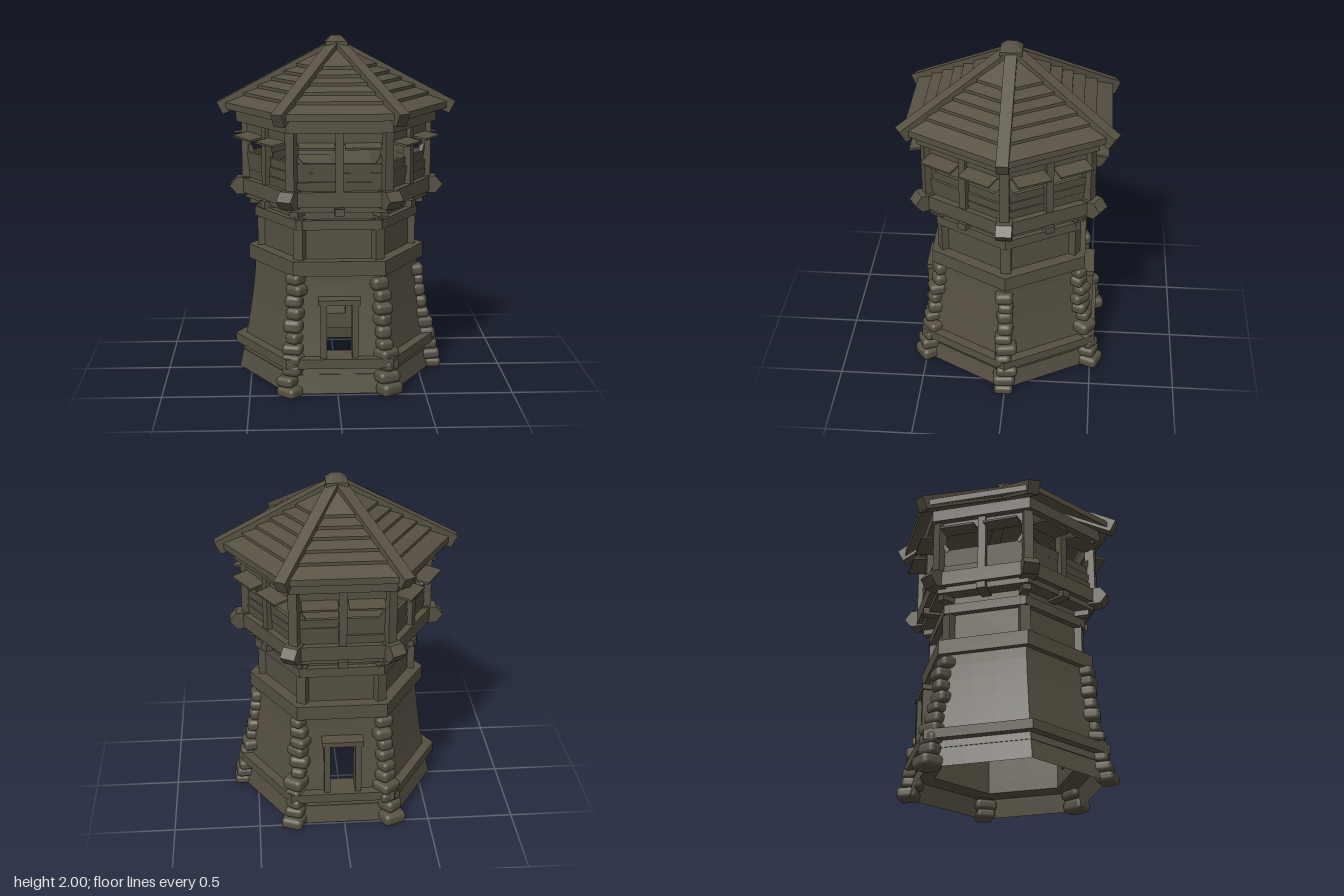
import * as THREE from 'three';
import { RoundedBoxGeometry } from 'three/addons/geometries/RoundedBoxGeometry.js';

const SIXTH = Math.PI / 3;
const APO = Math.cos(Math.PI / 6); // apothem of a unit hexagon

const wood = new THREE.MeshStandardMaterial({ color: 0x575143, side: THREE.DoubleSide });
wood.name = 'weathered grey brown';

function add(parent, name, geometry, x = 0, y = 0, z = 0) {
  const mesh = new THREE.Mesh(geometry, wood);
  mesh.name = name;
  mesh.position.set(x, y, z);
  parent.add(mesh);
  return mesh;
}

function box(parent, name, w, h, d, x, y, z) {
  return add(parent, name, new THREE.BoxGeometry(w, h, d), x, y, z);
}

// Six-sided solid from a profile of [radius, y], with corners on the x axis
function hexLathe(parent, name, profile) {
  const points = profile.map(([r, y]) => new THREE.Vector2(r, y));
  const g = new THREE.LatheGeometry(points, 6, Math.PI / 2).toNonIndexed();
  g.computeVertexNormals();
  return add(parent, name, g);
}

// Six rotated copies; sides face local +z, corners point along local +x
function around(parent, name, build) {
  for (let k = 0; k < 6; k++) {
    const g = new THREE.Group();
    g.name = name;
    g.rotation.y = k * SIXTH;
    build(g, k);
    parent.add(g);
  }
}

// Belt of six planks between two heights, outer corner radius R
function belt(parent, name, R, y0, y1, depth) {
  around(parent, name, (g) => {
    box(g, name + 'Plank', R, y1 - y0, depth, 0, (y0 + y1) / 2, R * APO - depth / 2);
  });
}

const DOOR = { half: 0.073, y0: 0.2, y1: 0.53 };

// One flared wall face, optionally with a doorway left open
function wallFace(radius, rows, door) {
  const pos = [];
  const at = (c, y) => {
    const R = radius(y);
    return [[-R / 2, -DOOR.half, DOOR.half, R / 2][c], y, R * APO];
  };
  for (let i = 0; i < rows.length - 1; i++) {
    const y0 = rows[i], y1 = rows[i + 1];
    for (let c = 0; c < 3; c++) {
      if (door && c === 1 && y0 >= DOOR.y0 && y1 <= DOOR.y1) continue;
      const a = at(c, y0), b = at(c + 1, y0), d = at(c + 1, y1), e = at(c, y1);
      pos.push(...a, ...b, ...d, ...a, ...d, ...e);
    }
  }
  const g = new THREE.BufferGeometry();
  g.setAttribute('position', new THREE.Float32BufferAttribute(pos, 3));
  g.computeVertexNormals();
  return g;
}

const flare = (y) => 0.478 + 0.107 * Math.pow(Math.max(0, 1 - y / 0.72), 1.5);

export function createModel() {
  const model = new THREE.Group();
  model.name = 'watchtower';
  const tower = new THREE.Group();
  tower.name = 'tower';
  tower.position.x = 0.01;
  model.add(tower);

  let seed = 7;
  const rand = () => {
    seed = (seed * 16807) % 2147483647;
    return seed / 2147483647 - 0.5;
  };

  // Lower flared wall, inner wall and doorways front and back
  around(tower, 'lowerWall', (g, k) => {
    const door = k % 3 === 0;
    add(g, 'outerWall', wallFace(flare, [0.01, 0.1, 0.2, 0.31, 0.42, 0.53, 0.62, 0.72], door));
    add(g, 'innerWall', wallFace(() => 0.42, [0.12, 0.2, 0.53, 0.72], door));
    if (!door) return;
    for (const s of [-1, 1]) box(g, 'doorJamb', 0.035, 0.34, 0.145, s * 0.09, 0.37, 0.43);
    box(g, 'doorLintel', 0.24, 0.03, 0.15, 0, 0.545, 0.432);
    box(g, 'doorSill', 0.16, 0.03, 0.14, 0, 0.205, 0.43);
  });
  hexLathe(tower, 'innerLedge', [[0.42, 0.12], [0.565, 0.12]]);
  belt(tower, 'baseBelt', 0.605, 0.165, 0.22, 0.07);

  // Stacked corner stones on five corners; the sixth is bare
  around(tower, 'cornerStones', (g, k) => {
    if (k === 3) return;
    let y = 0;
    while (y < 0.64) {
      const h = Math.min(0.068 + rand() * 0.026, 0.695 - y);
      const w = 0.12 - y * 0.05;
      const stone = add(g, 'stone',
        new RoundedBoxGeometry(w * (1 + rand() * 0.25), h, w * (1 + rand() * 0.4), 2, h * 0.38),
        flare(y + h / 2) - 0.008 + rand() * 0.02, y + h / 2, rand() * 0.025);
      stone.rotation.set(0, rand() * 0.5, y > 0 ? rand() * 0.15 : 0);
      y += h * 0.95;
    }
  });

  // Upper wall framed by belts and corner posts
  belt(tower, 'middleBelt', 0.518, 0.685, 0.77, 0.07);
  hexLathe(tower, 'upperWall', [[0.44, 0.72], [0.44, 1.06]]);
  around(tower, 'upperPost', (g) => box(g, 'upperPost', 0.055, 0.25, 0.06, 0.438, 0.88, 0));
  belt(tower, 'upperBelt', 0.482, 0.945, 1.0, 0.05);

  // Platform floor, joists and ring beams with pointed ends
  hexLathe(tower, 'platformFloor', [[0, 1.055], [0.535, 1.055], [0.535, 1.09], [0, 1.09]]);
  belt(tower, 'platformBeam', 0.57, 1.09, 1.175, 0.06);
  const end = new THREE.Shape();
  [[0.5, 1.08], [0.585, 1.08], [0.625, 1.13], [0.585, 1.18], [0.5, 1.18]]
    .forEach(([x, y], i) => (i ? end.lineTo(x, y) : end.moveTo(x, y)));
  const endGeometry = new THREE.ExtrudeGeometry(end, { depth: 0.09, bevelEnabled: false });
  around(tower, 'beamEnd', (g) => {
    add(g, 'beamEnd', endGeometry, 0, 0, -0.045);
    box(g, 'cornerJoist', 0.14, 0.035, 0.05, 0.44, 1.04, 0);
  });
  around(tower, 'joist', (g) => box(g, 'joist', 0.055, 0.04, 0.14, 0, 1.06, 0.43));

  // Lookout: posts, plank railing, head boards and tilted awnings
  around(tower, 'cornerPost', (g) => box(g, 'cornerPost', 0.055, 0.36, 0.055, 0.525, 1.34, 0));
  around(tower, 'lookoutSide', (g) => {
    box(g, 'middlePost', 0.045, 0.34, 0.045, 0, 1.34, 0.465);
    for (const s of [-1, 1]) {
      for (let i = 0; i < 3; i++) {
        const plank = box(g, 'railPlank', 0.235, 0.053, 0.018, s * 0.125, 1.2 + i * 0.052, 0.45 + rand() * 0.01);
        plank.rotation.set(0.1, 0, rand() * 0.02);
      }
      const awning = box(g, 'awning', 0.2, 0.012, 0.1, s * 0.128, 1.434, 0.51);
      awning.rotation.set(0.14, 0, rand() * 0.05);
      const brace = box(g, 'brace', 0.022, 0.09, 0.022, s * 0.235, 1.36, 0.45);
      brace.rotation.z = s * -0.6;
    }
    box(g, 'headBoard', 0.51, 0.07, 0.03, 0, 1.47, 0.45);
  });
  belt(tower, 'eaveBeam', 0.585, 1.505, 1.575, 0.05);

  // Roof with overlapping plank rows
  const radii = [0.66, 0.555, 0.475, 0.395, 0.325, 0.25, 0];
  const slopeY = (r) => 1.6 + 0.36 * (1 - r / 0.66);
  const profile = [[0, 1.925], [0.66, 1.58]];
  for (let i = 0; i < radii.length - 1; i++) {
    profile.push([radii[i], slopeY(radii[i]) + 0.018]);
    profile.push([radii[i + 1], slopeY(radii[i + 1])]);
  }
  hexLathe(tower, 'roof', profile);

  // Ridge beams and peak cap
  around(tower, 'ridgeBeam', (g) => {
    const beam = box(g, 'ridgeBeam', 0.77, 0.08, 0.068, 0.335, 1.765, 0);
    beam.rotation.z = -Math.atan(0.53);
  });
  box(tower, 'capBlock', 0.125, 0.035, 0.125, 0, 1.95, 0);
  const cap = add(tower, 'capPeak', new THREE.CylinderGeometry(0.04, 0.088, 0.033, 4), 0, 1.9835, 0);
  cap.rotation.y = Math.PI / 4;

  return model;
}
